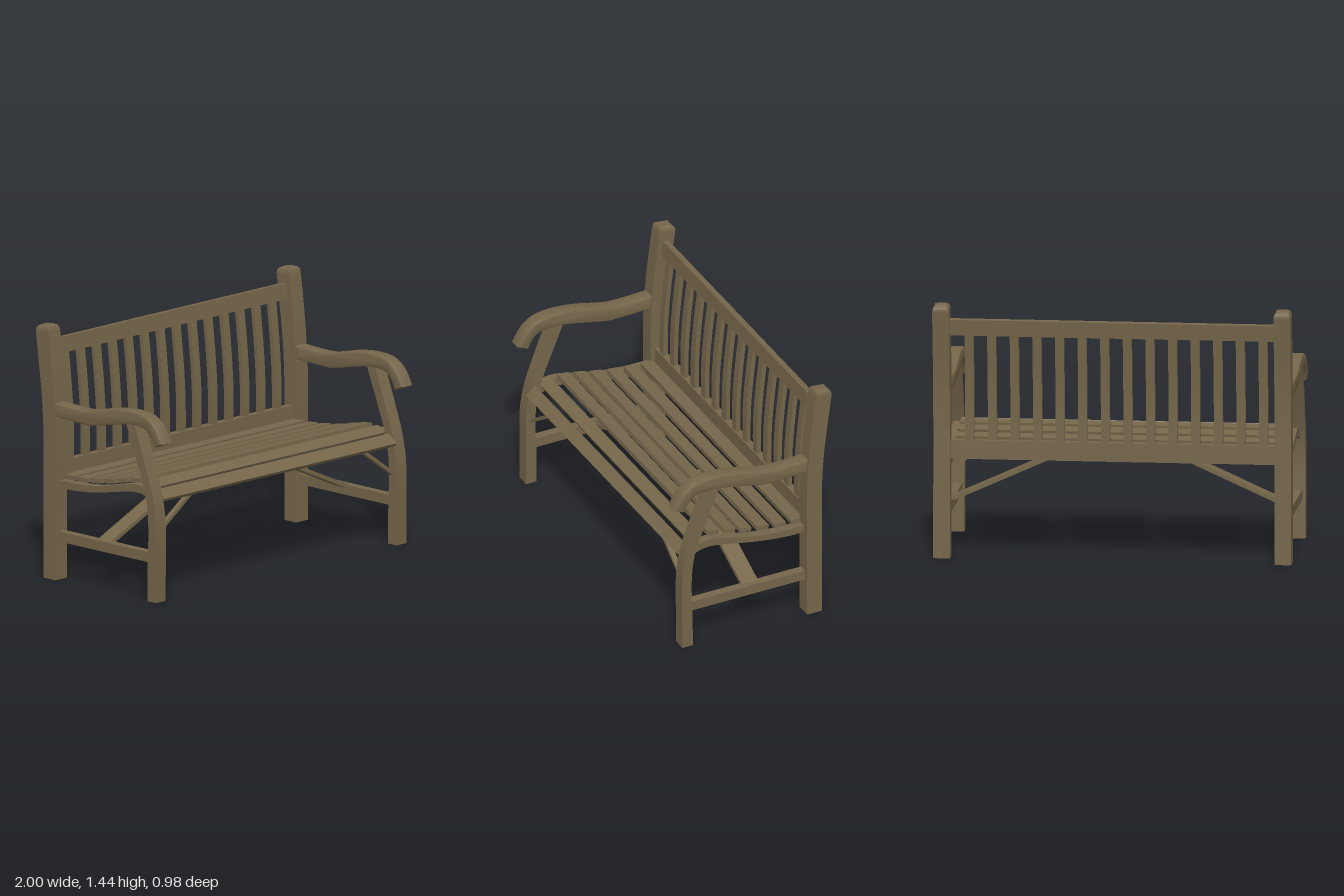
import * as THREE from 'three';
import { toCreasedNormals } from 'three/addons/utils/BufferGeometryUtils.js';

export function createModel() {
  const bench = new THREE.Group();
  bench.name = 'gardenBench';
  const wood = new THREE.MeshStandardMaterial({ color: 0x75664a });
  wood.name = 'weatheredWood';

  const add = (name, geometry, x = 0, y = 0, z = 0) => {
    const mesh = new THREE.Mesh(geometry, wood);
    mesh.name = name;
    mesh.position.set(x, y, z);
    bench.add(mesh);
    return mesh;
  };
  const box = (name, w, h, d, x, y, z) => add(name, new THREE.BoxGeometry(w, h, d), x, y, z);

  // Smooth line through [z, y] points
  const smooth = (pts, n) =>
    new THREE.SplineCurve(pts.map(([z, y]) => new THREE.Vector2(z, y))).getPoints(n);

  // Curved plank: side outline between two edges, extruded across x
  const plank = (edgeA, edgeB, width, bevel = 0, n = 20) => {
    const shape = new THREE.Shape([...smooth(edgeA, n), ...smooth(edgeB, n).reverse()]);
    const geo = new THREE.ExtrudeGeometry(shape, {
      depth: width - 2 * bevel, bevelEnabled: bevel > 0, bevelSize: bevel,
      bevelThickness: bevel, bevelOffset: -bevel, bevelSegments: 2,
    });
    geo.translate(0, 0, -(width - 2 * bevel) / 2).rotateY(-Math.PI / 2);
    return toCreasedNormals(geo, 0.5);
  };

  // Rounded top of a rear post
  const capGeometry = () => {
    const h = 0.036, geo = new THREE.BoxGeometry(0.093, h, 0.097, 1, 4, 1);
    const p = geo.attributes.position;
    for (let i = 0; i < p.count; i++) {
      const t = Math.min(1, p.getY(i) / h + 0.5);
      const inset = 0.024 * (1 - Math.sqrt(1 - t * t));
      p.setX(i, p.getX(i) - Math.sign(p.getX(i)) * inset);
      p.setZ(i, p.getZ(i) - Math.sign(p.getZ(i)) * inset);
    }
    geo.translate(0, h / 2, 0);
    return toCreasedNormals(geo, 0.5);
  };

  const postGeo = plank(
    [[-0.335, 0], [-0.335, 0.4], [-0.333, 0.78], [-0.345, 1.02], [-0.368, 1.24], [-0.391, 1.412]],
    [[-0.427, 0], [-0.427, 0.4], [-0.427, 0.8], [-0.44, 1.03], [-0.463, 1.22], [-0.487, 1.402]], 0.093);
  const legGeo = plank(
    [[0.44, 0], [0.441, 0.2], [0.442, 0.38], [0.435, 0.5], [0.405, 0.64], [0.344, 0.81], [0.275, 0.99]],
    [[0.375, 0], [0.376, 0.2], [0.382, 0.4], [0.37, 0.55], [0.34, 0.66], [0.282, 0.81], [0.208, 0.99]], 0.078);
  const armGeo = plank(
    [[-0.345, 1.01], [-0.13, 1.004], [-0.02, 1.022], [0.1, 1.05], [0.23, 1.064], [0.345, 1.055],
      [0.42, 1.015], [0.46, 0.965], [0.49, 0.912]],
    [[-0.345, 0.932], [-0.11, 0.924], [-0.02, 0.935], [0.08, 0.957], [0.21, 0.982], [0.31, 0.985],
      [0.37, 0.968], [0.405, 0.93], [0.428, 0.885]], 0.088, 0.012, 28);
  const seatRailGeo = plank(
    [[0.385, 0.595], [0.34, 0.63], [0.28, 0.643], [0.21, 0.638], [0.1, 0.612], [-0.02, 0.585], [-0.17, 0.568], [-0.34, 0.566]],
    [[0.385, 0.555], [0.345, 0.58], [0.29, 0.597], [0.21, 0.595], [0.06, 0.565], [-0.09, 0.538], [-0.24, 0.524], [-0.34, 0.524]], 0.055);

  // Bar lying in the xy plane between two points
  const brace = (name, x1, y1, x2, y2, z, depth, thick) => {
    const bar = box(name, Math.hypot(x2 - x1, y2 - y1), thick, depth, (x1 + x2) / 2, (y1 + y2) / 2, z);
    bar.rotation.z = Math.atan2(y2 - y1, x2 - x1);
  };

  // Both end frames
  for (const s of [1, -1]) {
    add('rearPost', postGeo, s * 0.9535);
    add('postCap', capGeometry(), s * 0.9535, 1.406, -0.439).rotation.x = -0.1;
    add('frontLeg', legGeo, s * 0.953);
    add('armrest', armGeo, s * 0.952);
    add('seatRail', seatRailGeo, s * 0.935);
    box('sideStretcher', 0.05, 0.057, 0.72, s * 0.95, 0.247, 0.02);
    brace('seatBrace', s * 0.945, 0.262, s * 0.22, 0.588, -0.008, 0.1, 0.022);
    brace('frontBrace', s * 0.93, 0.398, s * 0.67, 0.58, 0.4, 0.03, 0.02);
  }

  // Seat slats: z, y of the centre and forward tilt
  const slats = [
    [-0.312, 0.579, 0.02], [-0.207, 0.582, -0.06], [-0.1, 0.594, -0.11], [0.008, 0.611, -0.17],
    [0.108, 0.633, -0.22], [0.21, 0.652, -0.12], [0.316, 0.637, 0.45], [0.403, 0.597, 0.72],
  ];
  for (const [z, y, tilt] of slats)
    box('seatSlat', 1.836, 0.025, 0.073, 0, y, z).rotation.x = tilt;

  // Backrest rails and upright slats
  box('lowerBackRail', 1.83, 0.105, 0.042, 0, 0.613, -0.382);
  box('upperBackRail', 1.83, 0.09, 0.036, 0, 1.31, -0.423).rotation.x = -0.1;
  const backSlatGeo = plank(
    [[-0.369, 0.65], [-0.37, 0.85], [-0.384, 1.05], [-0.41, 1.28]],
    [[-0.395, 0.65], [-0.396, 0.85], [-0.41, 1.05], [-0.436, 1.28]], 0.05, 0, 10);
  for (let i = 0; i < 14; i++) add('backSlat', backSlatGeo, -0.842 + i * 0.1263);

  return bench;
}
